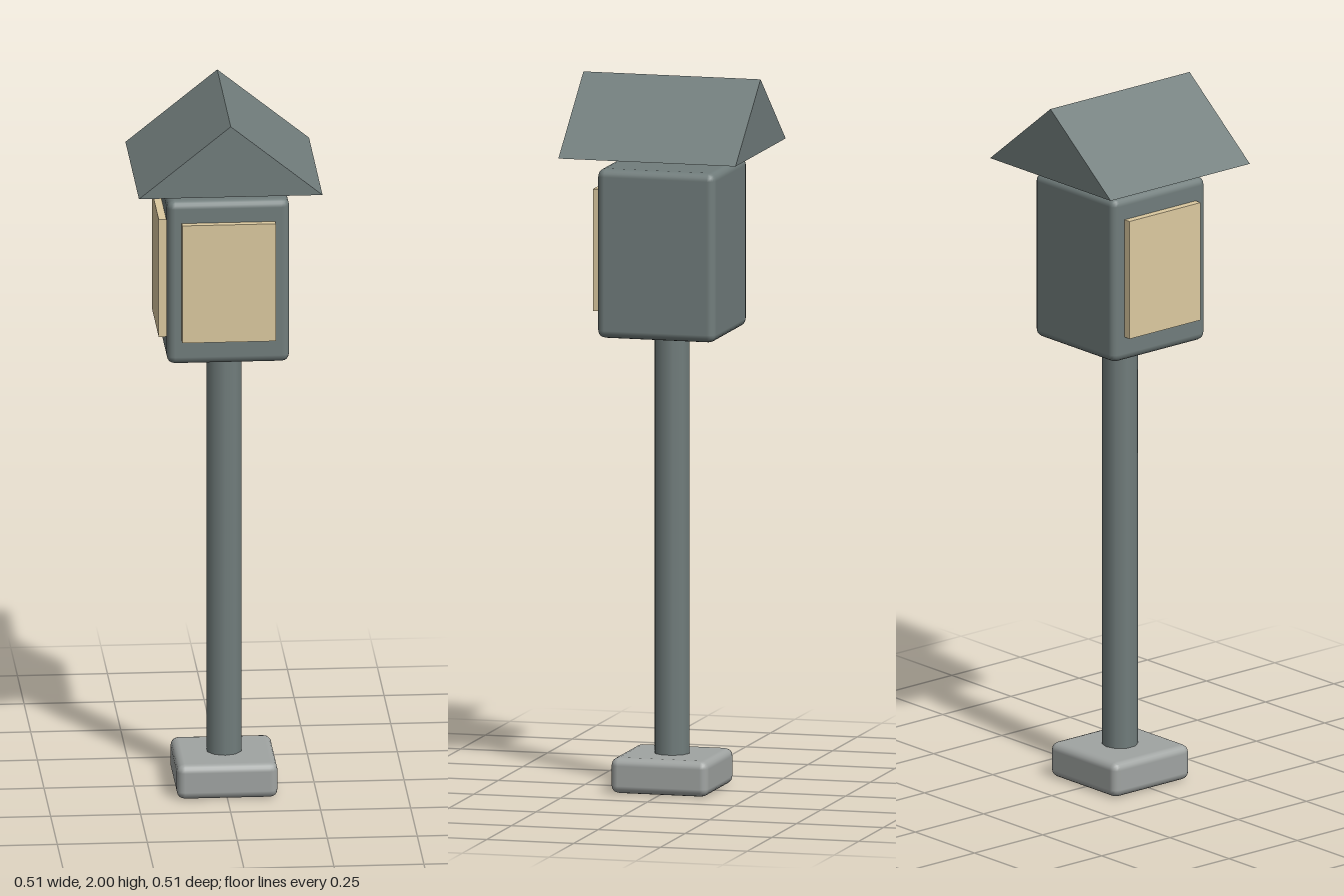
import * as THREE from 'three';
import { RoundedBoxGeometry } from 'three/addons/geometries/RoundedBoxGeometry.js';

export function createModel() {
  const group = new THREE.Group();
  const metal = new THREE.MeshStandardMaterial({ color: 0x717d7c });
  const roofMetal = new THREE.MeshStandardMaterial({ color: 0x717d7c, side: THREE.DoubleSide, flatShading: true });
  const stone = new THREE.MeshStandardMaterial({ color: 0xa0a4a2 });
  const glass = new THREE.MeshStandardMaterial({ color: 0xdcc9a0 });

  const add = (name, geometry, material, x, y, z) => {
    const mesh = new THREE.Mesh(geometry, material);
    mesh.name = name;
    mesh.position.set(x, y, z);
    group.add(mesh);
    return mesh;
  };

  // Foot, ten-sided post and lantern housing
  add('base', new RoundedBoxGeometry(0.28, 0.1, 0.28, 2, 0.022), stone, 0, 0.05, 0);
  add('post', new THREE.CylinderGeometry(0.05, 0.05, 1.22, 10), metal, 0, 0.69, 0);
  add('housing', new RoundedBoxGeometry(0.34, 0.475, 0.34, 2, 0.022), metal, 0, 1.518, 0);

  // Glowing panes on the front and the right side only
  const pane = new THREE.BoxGeometry(0.26, 0.342, 0.03);
  add('frontPane', pane, glass, 0, 1.522, 0.176);
  add('sidePane', pane, glass, -0.176, 1.522, 0).rotation.y = -Math.PI / 2;

  // Gabled roof floating above the housing, open underneath
  const w = 0.255, low = 1.795, top = 2;
  const roof = new THREE.BufferGeometry();
  roof.setAttribute('position', new THREE.Float32BufferAttribute([
    -w, low, w, w, low, w, 0, top, w,
    -w, low, -w, w, low, -w, 0, top, -w,
  ], 3));
  roof.setIndex([
    0, 1, 2, 4, 3, 5,             // gables
    1, 4, 5, 1, 5, 2,             // left slope
    3, 0, 2, 3, 2, 5,             // right slope
  ]);
  const faceted = roof.toNonIndexed();
  faceted.computeVertexNormals();
  add('roof', faceted, roofMetal, 0, 0, 0);

  return group;
}
